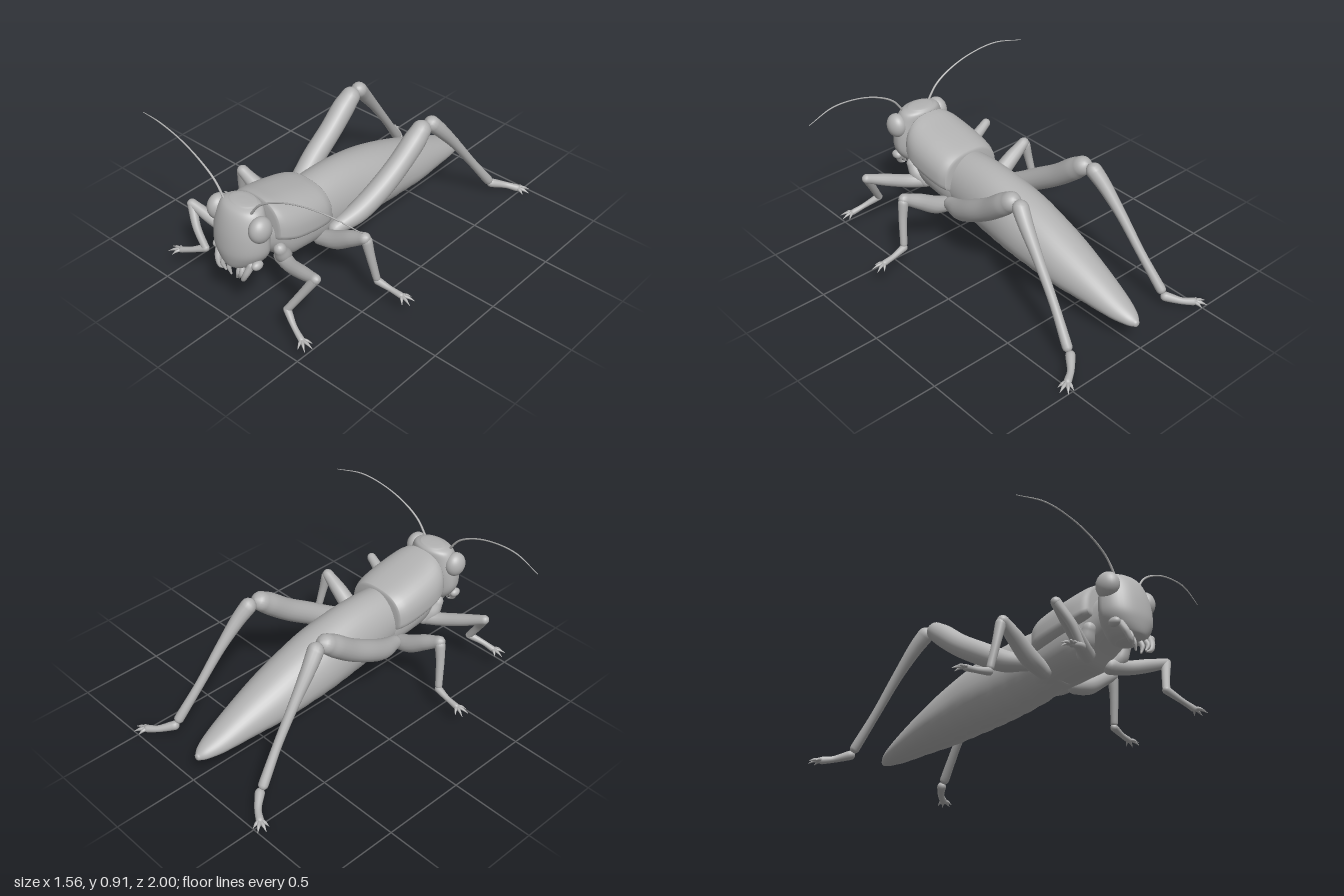
import * as THREE from 'three';

const shell = new THREE.MeshStandardMaterial({ color: 0xb2b2b2 });
shell.name = 'plain grey';

// Closed skin over rows of rings; point(i, a) gives a vertex
function skin(name, rows, cols, point) {
  const pos = [], index = [];
  for (let i = 0; i < rows; i++) {
    for (let j = 0; j < cols; j++) pos.push(...point(i, (j / cols) * Math.PI * 2));
  }
  for (let i = 0; i < rows - 1; i++) {
    for (let j = 0; j < cols; j++) {
      const a = i * cols + j, b = i * cols + (j + 1) % cols;
      index.push(a, b, a + cols, b, b + cols, a + cols);
    }
  }
  const geo = new THREE.BufferGeometry();
  geo.setAttribute('position', new THREE.Float32BufferAttribute(pos, 3));
  geo.setIndex(index);
  geo.computeVertexNormals();
  const mesh = new THREE.Mesh(geo, shell);
  mesh.name = name;
  return mesh;
}

// Smooth value k of a table of sections at u in 0..1
function sample(list, u) {
  const f = u * (list.length - 1), i = Math.min(Math.floor(f), list.length - 2), t = f - i;
  const at = n => list[Math.max(0, Math.min(list.length - 1, n))];
  return list[0].map((_, k) => {
    const a = at(i - 1)[k], b = at(i)[k], c = at(i + 1)[k], d = at(i + 2)[k];
    return b + 0.5 * t * (c - a + t * (2 * a - 5 * b + 4 * c - d + t * (3 * (b - c) + d - a)));
  });
}

// Body loft; section = [along, centre, halfWidth, upper, lower]
function loft(name, sections, { upright = false, power = 1, cap = 0.01, ripple = 0 } = {}) {
  const steps = 48, rows = [];
  const dir = Math.sign(sections[1][0] - sections[0][0]);
  const add = (s, k, shift) => rows.push([s[0] + dir * shift, s[1], s[2] * k, s[3] * k, s[4] * k]);
  const first = sections[0], last = sections[sections.length - 1];
  [[0, -1], [0.6, -0.9], [0.92, -0.5]].forEach(([k, e]) => add(first, k, e * cap));
  for (let i = 0; i <= steps; i++) add(sample(sections, i / steps), 1, 0);
  [[0.92, 0.5], [0.6, 0.9], [0, 1]].forEach(([k, e]) => add(last, k, e * cap));
  const bend = v => Math.sign(v) * Math.abs(v) ** power;
  return skin(name, rows.length, 40, (i, a) => {
    const [t, c, w, up, low] = rows[i];
    const s = bend(Math.sin(a));
    const x = w * bend(Math.cos(a));
    const h = c + s * (s > 0 ? up : low * (1 + ripple * Math.sin(t * 58)));
    return upright ? [x, t, h] : [x, h, t];
  });
}

// Tapered round-ended limb; each point = [x, y, z, radius]
function limb(name, points, side = 1, cols = 14) {
  const curve = new THREE.CatmullRomCurve3(points.map(p => new THREE.Vector3(p[0] * side, p[1], p[2])));
  const radii = points.map(p => [p[3]]);
  const n = points.length * 7, rings = [];
  const ring = (u, k, e) => rings.push({ u, k, e });
  for (let q = 0; q < 4; q++) ring(0, Math.sin(q * Math.PI / 8), -Math.cos(q * Math.PI / 8));
  for (let i = 0; i <= n; i++) ring(i / n, 1, 0);
  for (let q = 3; q >= 0; q--) ring(1, Math.sin(q * Math.PI / 8), Math.cos(q * Math.PI / 8));
  const chord = curve.getPoint(1).sub(curve.getPoint(0)).toArray().map(Math.abs);
  const ref = new THREE.Vector3().setComponent(chord.indexOf(Math.min(...chord)), 1);
  const frames = rings.map(({ u, k, e }) => {
    const T = curve.getTangent(u), r = sample(radii, u)[0];
    const N = ref.clone().cross(T).normalize(), B = T.clone().cross(N);
    return { P: curve.getPoint(u).addScaledVector(T, e * r), N, B, r: r * k };
  });
  return skin(name, rings.length, cols, (i, a) => {
    const { P, N, B, r } = frames[i];
    return P.clone().addScaledVector(N, r * Math.cos(a)).addScaledVector(B, r * Math.sin(a)).toArray();
  });
}

function ball(name, p, r) {
  const mesh = new THREE.Mesh(new THREE.SphereGeometry(1, 28, 20), shell);
  mesh.name = name;
  mesh.position.set(...p);
  mesh.scale.set(...r);
  return mesh;
}

// Foot: tapered pad along ankle-to-tip with a fan of four claws
function foot(name, ankle, mid, tip, side, size) {
  const group = new THREE.Group();
  group.name = name;
  group.add(limb('footPad', [[...ankle, size], [...mid, size * 0.72], [...tip, size * 0.8]], side));
  const d = new THREE.Vector3(...tip).sub(new THREE.Vector3(...mid)).setY(0).normalize();
  [-0.85, -0.3, 0.3, 0.85].forEach((spread, i) => {
    const v = d.clone().applyAxisAngle(new THREE.Vector3(0, 1, 0), spread);
    const len = i % 3 ? 0.075 : 0.055;
    const at = (k, drop, r) => [tip[0] + v.x * len * k, tip[1] - drop, tip[2] + v.z * len * k, r];
    group.add(limb('claw', [at(0, 0, size * 0.5), at(0.55, 0.002, size * 0.36), at(1, 0.016, 0.002)], side, 8));
  });
  return group;
}

export function createModel() {
  const model = new THREE.Group();
  model.name = 'grasshopper';

  // Abdomen with folded wings, tail to front
  model.add(loft('abdomen', [
    [-0.96, 0.165, 0.02, 0.02, 0.02], [-0.92, 0.175, 0.05, 0.04, 0.036], [-0.82, 0.195, 0.085, 0.07, 0.058],
    [-0.64, 0.235, 0.122, 0.115, 0.092], [-0.45, 0.27, 0.155, 0.16, 0.125], [-0.28, 0.305, 0.17, 0.19, 0.15],
    [-0.1, 0.34, 0.18, 0.21, 0.175], [0.1, 0.37, 0.172, 0.22, 0.19], [0.28, 0.39, 0.165, 0.212, 0.18],
    [0.46, 0.41, 0.155, 0.185, 0.155]], { ripple: 0.02 }));
  // Thorax and neck
  model.add(loft('thorax', [
    [0.3, 0.38, 0.14, 0.12, 0.16], [0.42, 0.39, 0.165, 0.12, 0.14], [0.55, 0.42, 0.175, 0.12, 0.155],
    [0.66, 0.45, 0.17, 0.12, 0.175], [0.74, 0.49, 0.15, 0.12, 0.15], [0.84, 0.53, 0.13, 0.12, 0.12]], { power: 0.85 }));
  // Saddle shield behind the head
  model.add(loft('pronotum', [
    [0.39, 0.45, 0.19, 0.163, 0.075], [0.44, 0.46, 0.208, 0.17, 0.078], [0.54, 0.475, 0.216, 0.18, 0.075],
    [0.66, 0.495, 0.213, 0.187, 0.065], [0.73, 0.515, 0.198, 0.185, 0.055], [0.765, 0.525, 0.178, 0.182, 0.05]],
    { power: 0.8, cap: 0.012 }));

  // Head, crown to chin
  model.add(loft('head', [
    [0.72, 0.85, 0.085, 0.055, 0.065], [0.7, 0.855, 0.125, 0.085, 0.085], [0.65, 0.86, 0.15, 0.108, 0.092],
    [0.57, 0.86, 0.17, 0.13, 0.093], [0.48, 0.86, 0.173, 0.14, 0.09], [0.42, 0.86, 0.148, 0.135, 0.088],
    [0.37, 0.87, 0.1, 0.11, 0.085], [0.35, 0.88, 0.06, 0.075, 0.065]], { upright: true, cap: 0.008 }));

  for (const side of [1, -1]) {
    const s = p => [p[0] * side, p[1], p[2]];
    const tag = side > 0 ? 'left' : 'right';
    model.add(ball(tag + 'Eye', s([0.152, 0.624, 0.882]), [0.056, 0.074, 0.068]));
    model.add(limb(tag + 'Antenna', [
      [0.09, 0.69, 0.89, 0.007], [0.16, 0.785, 0.888, 0.006], [0.27, 0.855, 0.883, 0.005], [0.42, 0.907, 0.872, 0.004],
      [0.6, 0.927, 0.855, 0.004], [0.78, 0.898, 0.82, 0.002]], side, 8));

    // Mouthparts
    model.add(ball(tag + 'Cheek', s([0.145, 0.405, 0.91]), [0.025, 0.026, 0.035]));
    model.add(limb(tag + 'OuterPalp', [[0.12, 0.4, 0.93, 0.02], [0.105, 0.35, 0.955, 0.018],
      [0.085, 0.31, 0.96, 0.013], [0.065, 0.3, 0.95, 0.005]], side, 10));
    model.add(limb(tag + 'MiddlePalp', [[0.06, 0.38, 0.93, 0.016], [0.07, 0.335, 0.955, 0.015],
      [0.05, 0.3, 0.955, 0.006]], side, 10));
    model.add(limb(tag + 'InnerPalp', [[0.03, 0.37, 0.92, 0.016], [0.035, 0.32, 0.945, 0.014],
      [0.022, 0.28, 0.945, 0.006]], side, 10));

    // Hind leg
    model.add(limb(tag + 'HindFemur', [
      [0.18, 0.34, 0.355, 0.042], [0.215, 0.385, 0.22, 0.06], [0.243, 0.47, 0.07, 0.065],
      [0.255, 0.565, -0.08, 0.064], [0.262, 0.66, -0.2, 0.064], [0.262, 0.708, -0.262, 0.056]], side, 20));
    model.add(limb(tag + 'HindTibia', [
      [0.27, 0.712, -0.345, 0.046], [0.287, 0.645, -0.405, 0.041], [0.308, 0.5, -0.525, 0.03],
      [0.33, 0.3, -0.675, 0.025], [0.36, 0.115, -0.81, 0.028]], side));
    model.add(foot(tag + 'HindFoot', [0.365, 0.08, -0.84], [0.43, 0.055, -0.91], [0.485, 0.042, -0.945], side, 0.027));

    // Middle leg
    model.add(limb(tag + 'MiddleFemur', [
      [0.13, 0.29, 0.42, 0.045], [0.24, 0.33, 0.42, 0.052], [0.36, 0.405, 0.425, 0.045], [0.455, 0.46, 0.43, 0.033]], side));
    model.add(limb(tag + 'MiddleTibia', [
      [0.465, 0.445, 0.425, 0.03], [0.482, 0.35, 0.415, 0.025], [0.505, 0.195, 0.39, 0.021]], side));
    model.add(foot(tag + 'MiddleFoot', [0.51, 0.172, 0.385], [0.59, 0.155, 0.375], [0.66, 0.146, 0.37], side, 0.022));

    // Front leg, posed a little differently on each side
    const lift = side > 0 ? 0 : 1;
    const knee = [0.45 + lift * 0.02, 0.415 + lift * 0.015, 0.8];
    const ankle = [0.32 + lift * 0.015, 0.19 + lift * 0.03, 0.88 - lift * 0.035];
    model.add(limb(tag + 'FrontFemur', [
      [0.1, 0.31, 0.69, 0.045], [0.2, 0.325, 0.73, 0.04], [0.33, 0.37, 0.768, 0.037], [...knee, 0.028]], side));
    model.add(limb(tag + 'FrontTibia', [
      [...knee, 0.027], [(knee[0] + ankle[0]) / 2, (knee[1] + ankle[1]) / 2, 0.838, 0.023], [...ankle, 0.021]], side));
    model.add(foot(tag + 'FrontFoot', ankle, [0.405 + lift * 0.01, 0.143 + lift * 0.045, 0.918 - lift * 0.035],
      [0.475, 0.115 + lift * 0.05, 0.94 - lift * 0.04], side, 0.022));
    // Side plate at the front leg root
    model.add(limb(tag + 'FrontHip', [
      [0.15, 0.42, 0.75, 0.035], [0.14, 0.36, 0.72, 0.045], [0.11, 0.315, 0.68, 0.042]], side));
  }
  return model;
}
